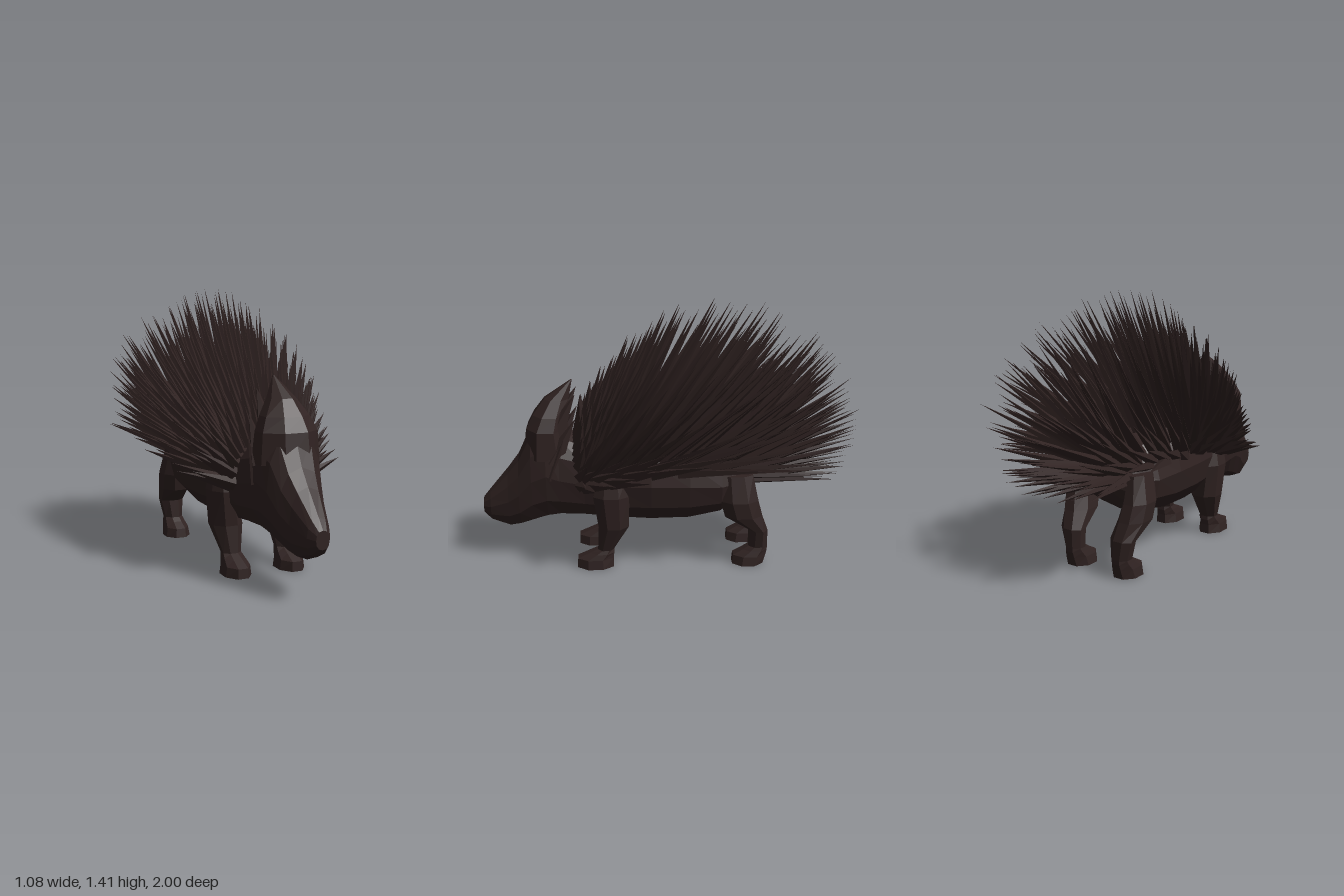
import * as THREE from 'three';
import { mergeGeometries } from 'three/addons/utils/BufferGeometryUtils.js';

const V = (x, y, z) => new THREE.Vector3(x, y, z);

// Faceted skin over a list of closed rings, capped at both ends
function loft(rings) {
  const pos = [], n = rings[0].length;
  const tri = (...pts) => pts.forEach((p) => pos.push(p.x, p.y, p.z));
  const mid = (r) => r.reduce((s, p) => s.add(p), V(0, 0, 0)).divideScalar(n);
  const first = rings[0], last = rings[rings.length - 1];
  for (let j = 0; j < n; j++) {
    const k = (j + 1) % n;
    for (let i = 0; i < rings.length - 1; i++) {
      const a = rings[i], b = rings[i + 1];
      tri(a[j], b[j], a[k]);
      tri(a[k], b[j], b[k]);
    }
    tri(mid(first), first[j], first[k]);
    tri(mid(last), last[k], last[j]);
  }
  const g = new THREE.BufferGeometry();
  g.setAttribute('position', new THREE.Float32BufferAttribute(pos, 3));
  g.computeVertexNormals();
  return g;
}

// Ring of n points given by a rule on cos and sin
const ring = (n, offset, f) => Array.from({ length: n }, (_, j) => {
  const a = ((j + offset) / n) * Math.PI * 2;
  return f(Math.cos(a), Math.sin(a));
});

// Upright part from top to bottom: y, centre x, half width, centre z, half depth
const column = (sections, side = 1) => loft(sections.map(([y, x, w, z, d]) =>
  ring(8, .5, (c, s) => V(side * x + w * 1.08 * s, y, z + d * 1.08 * c))));

// Pointed spike from root to tip
function spike(root, tip, radius, sides = 4) {
  const dir = tip.clone().sub(root), len = dir.length();
  const g = new THREE.ConeGeometry(radius, len, sides, 1).toNonIndexed();
  g.translate(0, len / 2, 0);
  g.applyQuaternion(new THREE.Quaternion().setFromUnitVectors(V(0, 1, 0), dir.normalize()));
  g.translate(root.x, root.y, root.z);
  g.computeVertexNormals();
  return g;
}

// Smooth sheet through rows of control points: t runs to the rear, p runs down the side
function sheet(rows) {
  const curves = rows.map((r) => new THREE.CatmullRomCurve3(r.map((p) => V(...p))));
  return (t, p) => new THREE.CatmullRomCurve3(curves.map((c) => c.getPoint(t))).getPoint(p);
}

const rootAt = sheet([
  [[.02, .70, .48], [.02, .72, .40], [.02, .74, .22], [.02, .72, 0], [.02, .60, -.33]],
  [[.16, .62, .48], [.19, .64, .38], [.21, .66, .20], [.21, .64, -.05], [.12, .55, -.38]],
  [[.19, .46, .47], [.22, .48, .36], [.24, .54, .15], [.23, .55, -.12], [.10, .49, -.40]],
]);
const tipAt = sheet([
  [[.03, .92, .47], [.035, 1.21, .22], [.04, 1.39, -.07], [.04, 1.41, -.40], [.035, 1.22, -.78]],
  [[.24, .82, .45], [.36, 1.02, .20], [.41, 1.14, -.10], [.42, 1.13, -.55], [.31, .96, -.93]],
  [[.44, .53, .43], [.50, .57, .20], [.54, .70, -.10], [.50, .64, -.58], [.20, .50, -.92]],
]);

// Body from nose to rump: z, bottom, top, half width
const bodySections = [
  [1, .26, .35, .035], [.96, .22, .40, .06], [.86, .18, .52, .095], [.8, .19, .6, .12],
  [.73, .21, .75, .145], [.65, .235, .8, .165], [.58, .25, .74, .17], [.45, .25, .7, .185],
  [.3, .24, .71, .22], [.1, .23, .73, .25], [-.1, .235, .72, .255], [-.27, .27, .67, .24],
  [-.4, .36, .6, .18], [-.46, .43, .54, .09],
];
const legSections = {
  frontLeg: [[.52, .19, .045, .31, .08], [.42, .19, .065, .31, .095], [.24, .16, .08, .3, .08],
    [.1, .15, .048, .345, .042], [.08, .15, .055, .365, .065], [.05, .15, .063, .4, .095], [0, .15, .07, .4, .097]],
  hindLeg: [[.52, .18, .045, -.35, .085], [.38, .185, .07, -.365, .1], [.29, .175, .075, -.39, .1],
    [.2, .16, .065, -.475, .048], [.1, .15, .05, -.475, .05], [.08, .15, .055, -.46, .065], [.05, .15, .063, -.43, .088],
    [0, .15, .07, -.42, .083]],
};
const crestSections = [[1, 0, .004, .51, .004], [.9, 0, .065, .59, .065], [.82, 0, .115, .625, .09],
  [.75, 0, .145, .645, .105], [.6, 0, .155, .64, .13]];

export function createModel() {
  const model = new THREE.Group();
  const hide = new THREE.MeshStandardMaterial({ color: 0x2f2221 });
  hide.name = 'darkBrown';
  const add = (name, geometry) => {
    const m = new THREE.Mesh(geometry, hide);
    m.name = name;
    model.add(m);
  };

  // Head and trunk
  add('body', loft(bodySections.map(([z, lo, hi, w]) =>
    ring(12, 0, (c, s) => V(
      w * Math.sign(c) * Math.abs(c) ** .8, (lo + hi) / 2 + ((hi - lo) / 2) * s, z)))));

  // Legs with feet
  for (const [name, sections] of Object.entries(legSections))
    for (const side of [1, -1])
      add(name + (side > 0 ? 'Left' : 'Right'), column(sections, side));

  // Crest sweeping back from the brow, with tufts at its sides
  add('crest', column(crestSections));
  const tufts = [];
  for (const s of [1, -1]) {
    tufts.push(spike(V(s * .07, .68, .62), V(s * .08, .94, .49), .07, 5));
    tufts.push(spike(V(s * .11, .58, .61), V(s * .12, .82, .49), .06, 5));
    tufts.push(spike(V(s * .14, .50, .63), V(s * .155, .72, .55), .035, 4));
  }
  add('earTufts', mergeGeometries(tufts));

  // Mirrored coat of quills, some a little shorter, closer together along the back
  let seed = 7;
  const rand = () => (seed = (seed * 16807) % 2147483647) / 2147483647 - .5;
  const quills = [], rows = 17, cols = 10;
  const addPair = (root, tip) => {
    for (const s of [1, -1])
      quills.push(spike(V(s * root.x, root.y, root.z), V(s * tip.x, tip.y, tip.z), .033));
  };
  for (let i = 0; i < rows; i++) {
    for (let j = 0; j < cols; j++) {
      const t = THREE.MathUtils.clamp((i + rand() * .5) / (rows - 1), 0, 1);
      const p = THREE.MathUtils.clamp((j + (i % 2) * .5 + rand() * .4) / (cols - .5), 0, 1) ** 1.25;
      const root = rootAt(t, p), tip = tipAt(t, p);
      tip.lerp(root, ((i + j) % 3 ? 0 : .1) + rand() * .06);
      addPair(root, tip);
    }
  }

  // Fan of quills over the rump
  for (const [y, z] of [[1.1, -.88], [.93, -.96], [.8, -1], [.69, -1], [.6, -.96], [.51, -.92]])
    for (const x of [.035, .11, .18, .26])
      addPair(V(x * .45, .47 + (y - .5) * .2, -.37), V(x, y + rand() * .05, z + x * x));
  add('quills', mergeGeometries(quills));
  return model;
}
